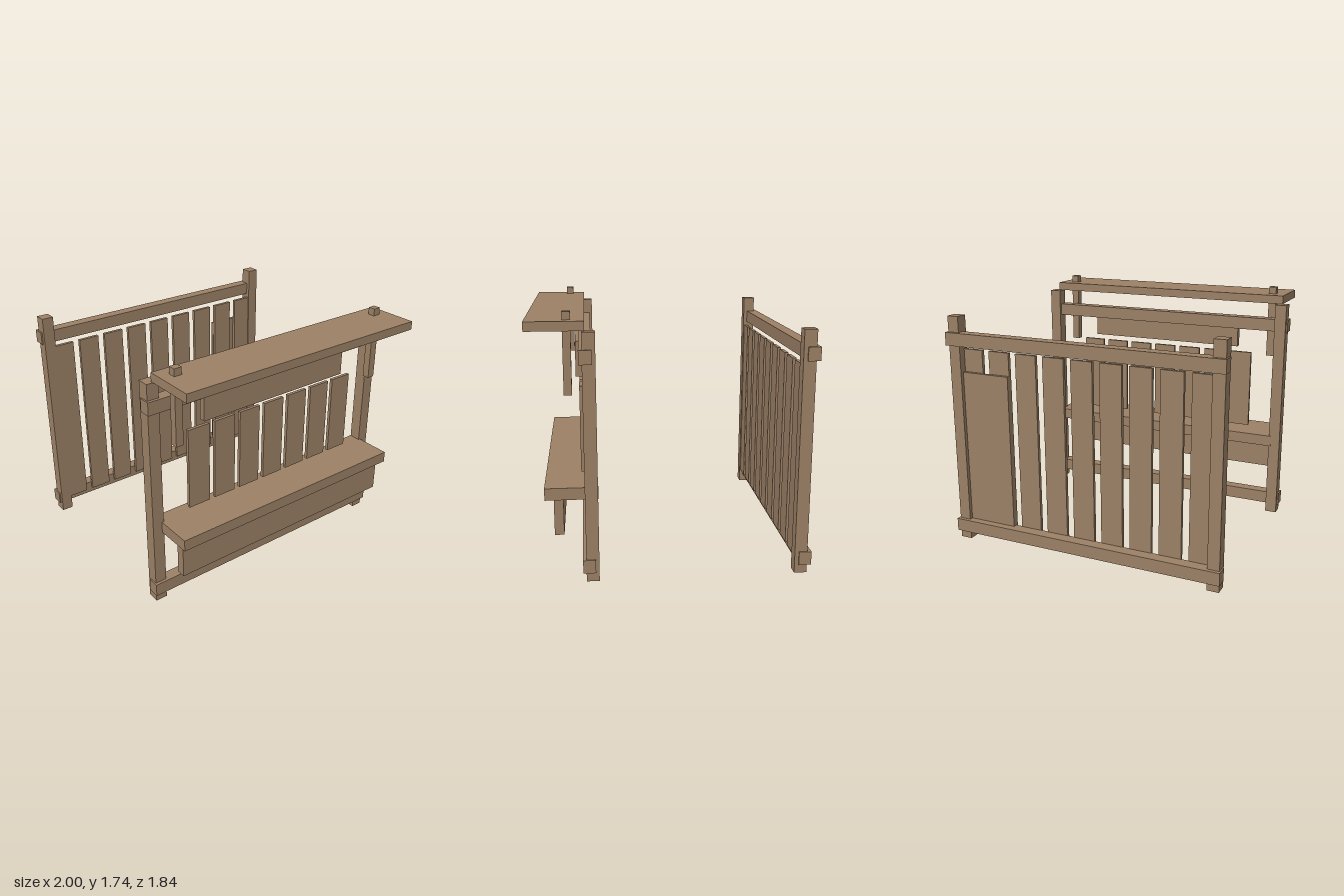
import * as THREE from 'three';

export function createModel() {
  const model = new THREE.Group();
  const wood = new THREE.MeshStandardMaterial({ color: 0x9b8065, flatShading: true });

  // Board given by its [min, max] extents on each axis
  function board(parent, name, [x0, x1], [y0, y1], [z0, z1]) {
    const mesh = new THREE.Mesh(new THREE.BoxGeometry(x1 - x0, y1 - y0, z1 - z0), wood);
    mesh.position.set((x0 + x1) / 2, (y0 + y1) / 2, (z0 + z1) / 2);
    mesh.name = name;
    parent.add(mesh);
  }

  // Two posts joined by a lower and an upper rail
  function frame(name, postZ, railZ) {
    const group = new THREE.Group();
    group.name = name;
    board(group, 'rightPost', [-0.99, -0.907], [0, 1.63], postZ);
    board(group, 'leftPost', [0.907, 0.99], [0, 1.63], postZ);
    board(group, 'lowerRail', [-1, 1], [0.06, 0.15], railZ);
    board(group, 'upperRail', [-1, 1], [1.43, 1.52], railZ);
    model.add(group);
    return group;
  }

  // Evenly spaced upright slats
  function slats(parent, count, width, y, z) {
    for (let i = 0; i < count; i++) {
      const x = (i - (count - 1) / 2) * 0.21;
      board(parent, 'slat', [x - width / 2, x + width / 2], y, z);
    }
  }

  // Front wall with counter, sign board and canopy
  const front = frame('frontWall', [0.483, 0.567], [0.505, 0.588]);
  slats(front, 7, 0.167, [0.66, 1.24], [0.565, 0.588]);
  board(front, 'signBoard', [-0.603, 0.603], [1.28, 1.515], [0.565, 0.61]);
  board(front, 'counterTop', [-0.922, 0.922], [0.54, 0.62], [0.48, 0.825]);
  board(front, 'counterApron', [-0.897, 0.897], [0.293, 0.54], [0.705, 0.767]);
  board(front, 'canopyBoard', [-0.945, 0.945], [1.63, 1.69], [0.547, 0.917]);
  for (const s of [-1, 1]) {
    const x = s * 0.842;
    board(front, 'canopyPeg', [x - 0.027, x + 0.027], [1.215, 1.74], [0.632, 0.684]);
  }

  // Back wall with full-height slats and a wide patch behind the left end
  const back = frame('backWall', [-0.892, -0.808], [-0.918, -0.835]);
  slats(back, 9, 0.157, [0.1, 1.4], [-0.84, -0.815]);
  board(back, 'patchPanel', [0.55, 0.907], [0.1, 1.24], [-0.865, -0.84]);

  return model;
}
